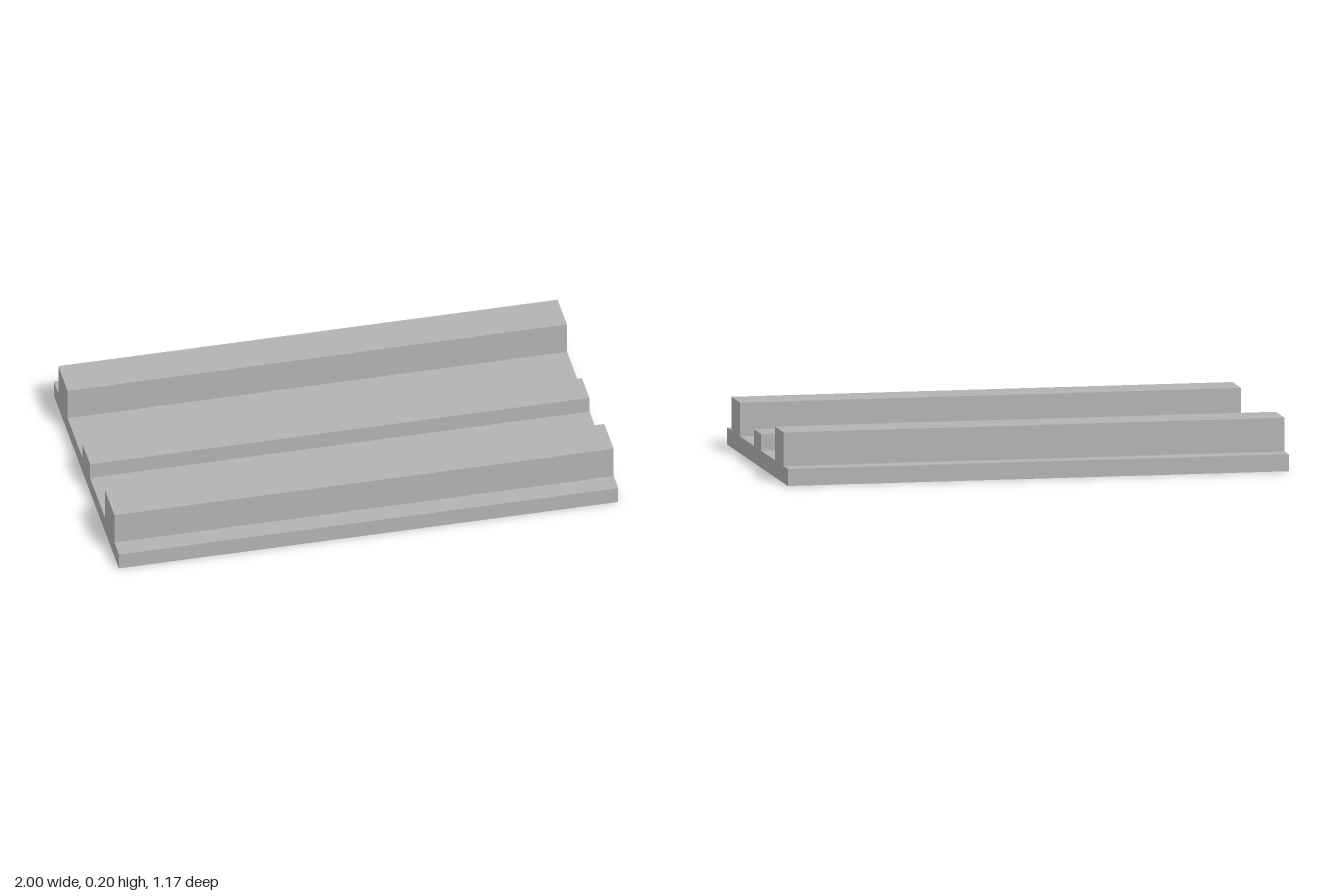
import * as THREE from 'three';

export function createModel() {
  const group = new THREE.Group();
  group.name = 'railedTrack';
  const gray = new THREE.MeshStandardMaterial({ color: 0xb3b3b3 });
  gray.name = 'gray';

  // Half cross-section (distance from centre, height), mirrored for the other side
  const half = [
    [0.583, 0], [0.583, 0.067], // base edge
    [0.502, 0.067], [0.502, 0.2], [0.335, 0.2], [0.335, 0.067], // side rail
    [0.067, 0.067], [0.067, 0.133], // low centre rail
  ];
  const mirrored = half.map(([d, h]) => [-d, h]).reverse();
  const profile = new THREE.Shape([...half, ...mirrored].map(([d, h]) => new THREE.Vector2(d, h)));

  // Extrude the profile along the length and turn it to run along x
  const geometry = new THREE.ExtrudeGeometry(profile, { depth: 2, bevelEnabled: false });
  geometry.translate(0, 0, -1).rotateY(Math.PI / 2);

  const track = new THREE.Mesh(geometry, gray);
  track.name = 'trackBaseWithRails';
  group.add(track);
  return group;
}
